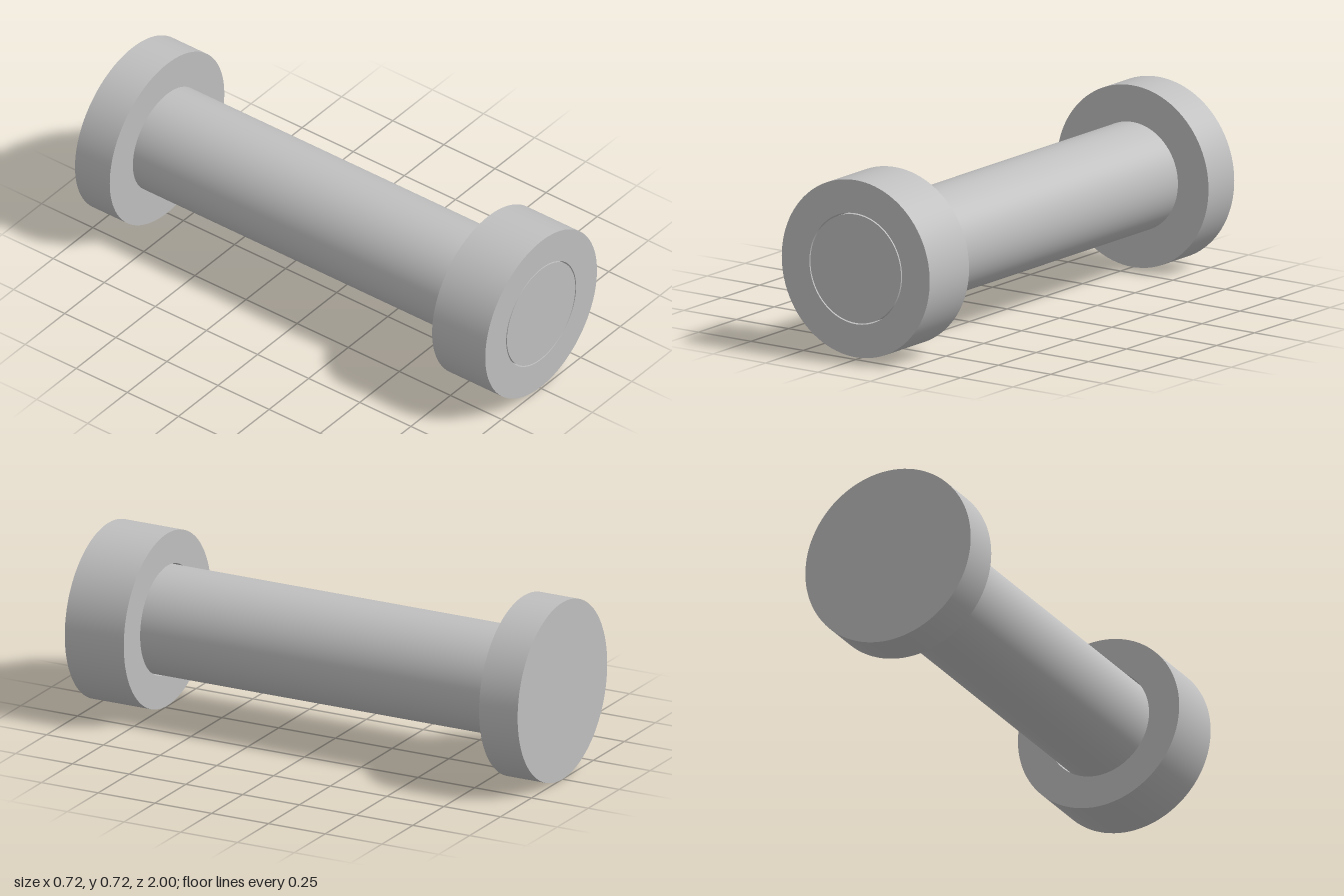
import * as THREE from 'three';
import { toCreasedNormals } from 'three/addons/utils/BufferGeometryUtils.js';

const AXIS_Y = 0.362;

// Spin a [radius, z] outline around the pin's long axis, keeping its rims sharp
function turned(name, outline, material) {
  const points = outline.map(([r, z]) => new THREE.Vector2(r, z));
  const lathe = new THREE.LatheGeometry(points, 96).rotateX(Math.PI / 2);
  const mesh = new THREE.Mesh(toCreasedNormals(lathe, 0.6), material);
  mesh.name = name;
  mesh.position.y = AXIS_Y;
  return mesh;
}

export function createModel() {
  const group = new THREE.Group();
  group.name = 'pinWithCollar';
  const steel = new THREE.MeshStandardMaterial({ color: 0xbfbfbf });
  steel.name = 'grey steel';

  // Pin: flat head at the back and a shaft running to the front
  group.add(turned('headedPin', [
    [0, -1], [0.362, -1], [0.362, -0.83], [0.216, -0.83], [0.216, 1], [0, 1],
  ], steel));

  // Collar: ring around the front end with a thin clearance to the shaft
  group.add(turned('collar', [
    [0.221, 1], [0.221, 0.74], [0.353, 0.74], [0.353, 1], [0.221, 1],
  ], steel));

  return group;
}
